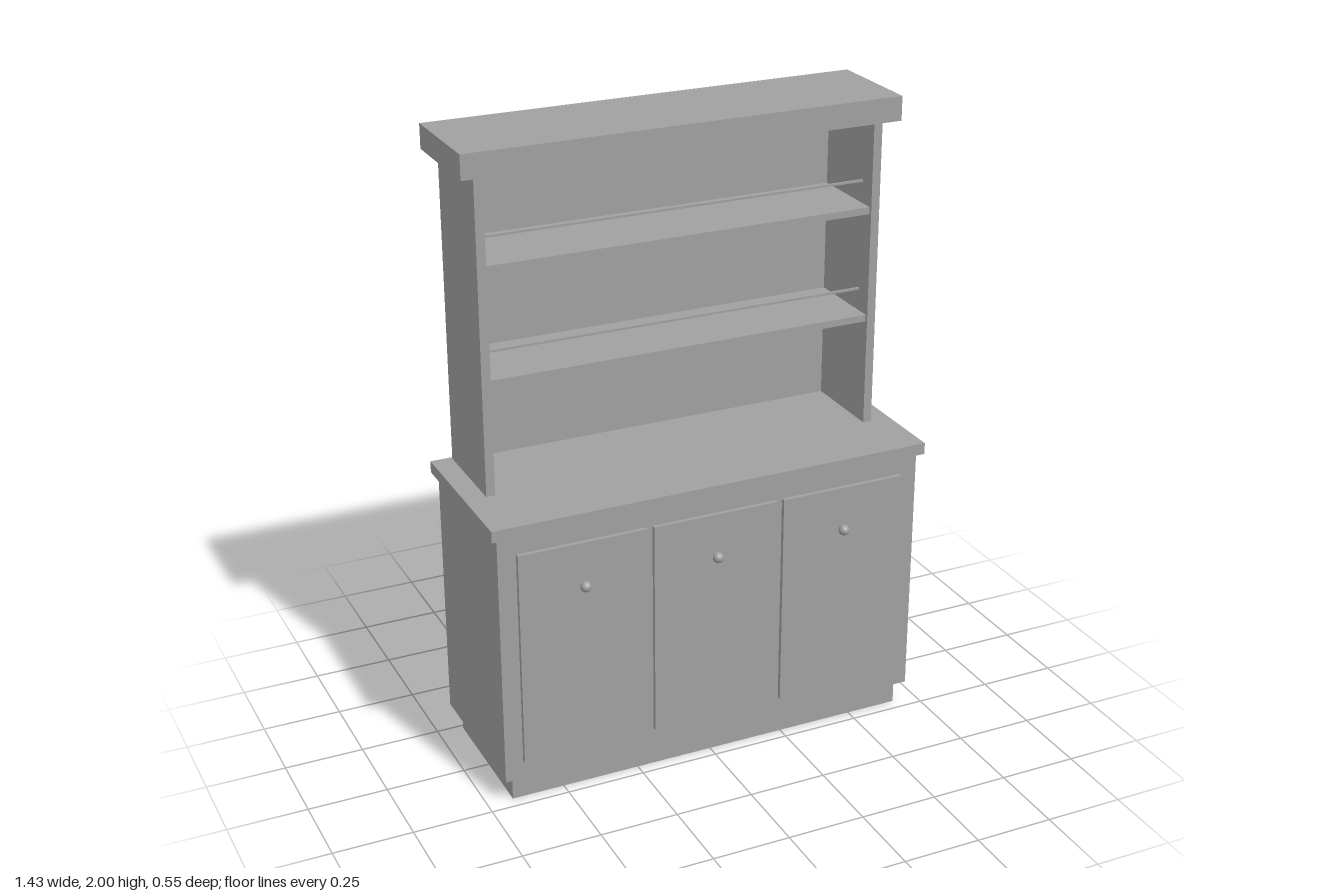
import * as THREE from 'three';

export function createModel() {
  const model = new THREE.Group();
  model.name = 'hutchCabinet';
  const grey = new THREE.MeshStandardMaterial({ color: 0xa0a0a0 });
  grey.name = 'plain grey';

  // Box given by its limits on each axis
  function box(name, x0, x1, y0, y1, z0, z1) {
    const mesh = new THREE.Mesh(new THREE.BoxGeometry(x1 - x0, y1 - y0, z1 - z0), grey);
    mesh.position.set((x0 + x1) / 2, (y0 + y1) / 2, (z0 + z1) / 2);
    mesh.name = name;
    model.add(mesh);
  }

  // Lower cabinet
  box('plinth', -0.668, 0.668, 0, 0.08, -0.235, 0.21);
  box('cabinetBody', -0.697, 0.697, 0.08, 0.903, -0.266, 0.234);
  box('countertop', -0.717, 0.717, 0.903, 0.94, -0.277, 0.25);

  // Doors with round knobs
  const knobGeometry = new THREE.SphereGeometry(0.017, 24, 16);
  ['rightDoor', 'middleDoor', 'leftDoor'].forEach((name, i) => {
    const x = (i - 1) * 0.433;
    box(name, x - 0.206, x + 0.206, 0.143, 0.843, 0.234, 0.248);
    const knob = new THREE.Mesh(knobGeometry, grey);
    knob.name = name + 'Knob';
    knob.position.set(x, 0.704, 0.26);
    model.add(knob);
  });

  // Upper hutch: sides, back and top
  box('rightSidePanel', -0.65, -0.622, 0.94, 1.924, -0.266, 0.03);
  box('leftSidePanel', 0.622, 0.65, 0.94, 1.924, -0.266, 0.03);
  box('backPanel', -0.622, 0.622, 0.94, 1.924, -0.266, -0.25);
  box('topCap', -0.697, 0.697, 1.924, 2, -0.277, 0.06);

  // Shelves, each with a thin plate rail above
  for (const y of [1.28, 1.63]) {
    box('shelf', -0.622, 0.622, y, y + 0.022, -0.25, 0.02);
    box('plateRail', -0.622, 0.622, y + 0.089, y + 0.096, -0.034, -0.027);
  }
  return model;
}
